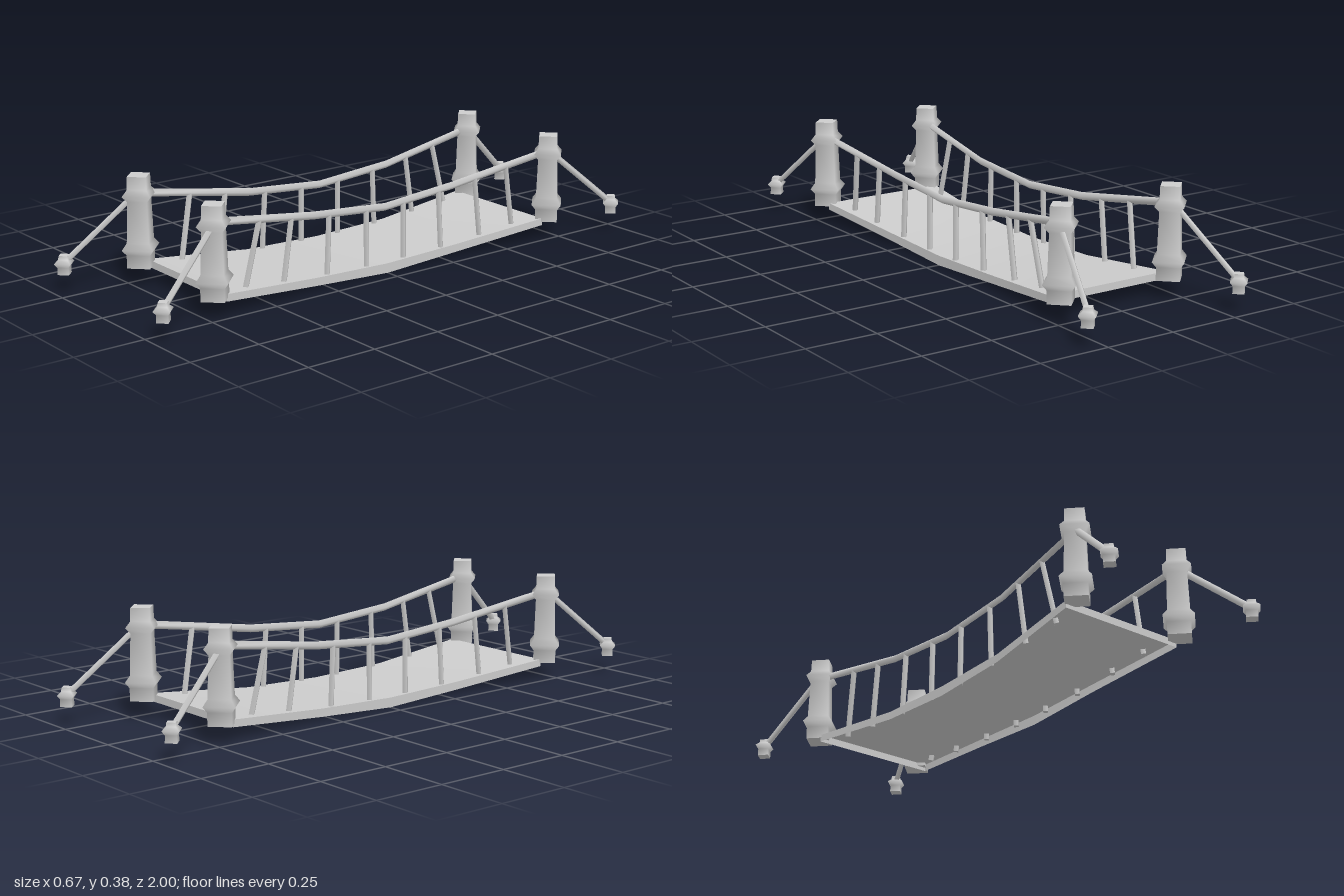
import * as THREE from 'three';

const V = (x, y, z) => new THREE.Vector3(x, y, z);

// Smooth surface through rows of points
function surface(rows, closed = false) {
  const n = rows[0].length, index = [];
  for (let i = 0; i < rows.length - 1; i++) {
    for (let j = 0; j < (closed ? n : n - 1); j++) {
      const k = (j + 1) % n;
      const a = i * n + j, b = i * n + k, c = a + n, d = b + n;
      index.push(a, b, c, b, d, c);
    }
  }
  const g = new THREE.BufferGeometry().setFromPoints(rows.flat());
  g.setIndex(index);
  g.computeVertexNormals();
  return g;
}

// Four-sided turned post, edges on the x and z axes
function turned(profile) {
  return new THREE.LatheGeometry(profile.map(([r, y]) => new THREE.Vector2(r, y)), 4);
}

// Straight four-sided bar between two points
function bar(a, b, r) {
  const d = b.clone().sub(a);
  const g = new THREE.CylinderGeometry(r, r, d.length(), 4);
  g.applyQuaternion(new THREE.Quaternion().setFromUnitVectors(V(0, 1, 0), d.normalize()));
  const m = a.clone().add(b).multiplyScalar(0.5);
  return g.translate(m.x, m.y, m.z);
}

// Linear lookup in [z, value] pairs, symmetric in z
function lookup(table, z) {
  const t = Math.abs(z);
  for (let i = 0; i < table.length - 1; i++) {
    const [z0, v0] = table[i], [z1, v1] = table[i + 1];
    if (t <= z1) return v0 + (v1 - v0) * (t - z0) / (z1 - z0);
  }
  return table[table.length - 1][1];
}

export function createModel() {
  const model = new THREE.Group();
  const grey = new THREE.MeshStandardMaterial({ color: 0xcccccc, side: THREE.DoubleSide });
  grey.name = 'plain grey';
  const add = (name, geometry, x = 0, y = 0, z = 0) => {
    const mesh = new THREE.Mesh(geometry, grey);
    mesh.name = name;
    mesh.position.set(x, y, z);
    model.add(mesh);
  };

  // Sagging deck, open underneath, with a thin skirt all round
  const deckZ = [-0.683, -0.3, 0, 0.3, 0.683];
  const deckTop = [[0, 0.034], [0.3, 0.043], [0.683, 0.075]];
  const deckLow = [[0, 0], [0.3, 0.015], [0.683, 0.05]];
  const deckHalf = [[0, 0.2], [0.3, 0.2], [0.683, 0.233]];
  const edge = (s, z, heights) => V(s * lookup(deckHalf, z), lookup(heights, z), z);
  add('deckTop', surface(deckZ.map(z => [edge(1, z, deckTop), edge(-1, z, deckTop)]).reverse()));
  for (const s of [-1, 1]) {
    add('deckSide', surface(deckZ.map(z => [edge(s, z, deckTop), edge(s, z, deckLow)])));
    const z = s * 0.683;
    add('deckEnd', surface([deckTop, deckLow].map(h => [edge(-1, z, h), edge(1, z, h)])));
  }

  // Posts, ground anchors and guy ropes at the four corners
  const post = turned([[0, 0.063], [0.055, 0.063], [0.055, 0.063], [0.055, 0.108], [0.073, 0.128],
    [0.053, 0.15], [0.047, 0.29], [0.067, 0.31], [0.047, 0.33], [0.045, 0.375], [0.045, 0.375], [0, 0.375]]);
  const anchor = turned([[0, 0.063], [0.027, 0.063], [0.027, 0.063], [0.026, 0.088], [0.0386, 0.102],
    [0.022, 0.114], [0.02, 0.127], [0.02, 0.127], [0, 0.127]]);
  for (const sx of [-1, 1]) {
    for (const sz of [-1, 1]) {
      add('post', post, sx * 0.217, 0, sz * 0.717);
      add('anchor', anchor, sx * 0.298, 0, sz * 0.961);
      add('guyRope', bar(V(sx * 0.295, 0.105, sz * 0.957), V(sx * 0.23, 0.3, sz * 0.735), 0.0115));
    }
  }

  // Handrails
  const railY = [[0, 0.228], [0.3, 0.252], [0.717, 0.315]];
  const railX = [[0, 0.181], [0.3, 0.181], [0.717, 0.215]];
  const r = 0.0135;
  for (const s of [-1, 1]) {
    const rows = [-0.717, -0.3, 0, 0.3, 0.717].map(z => {
      const x = s * lookup(railX, z), y = lookup(railY, z);
      return [V(x + r, y, z), V(x, y + r, z), V(x - r, y, z), V(x, y - r, z)];
    });
    add('handrail', surface(rows, true));

    // Leaning balusters, poking slightly through the deck
    for (const [top, bottom] of [[0.08, 0.08], [0.236, 0.248], [0.395, 0.427], [0.53, 0.58]]) {
      for (const sz of [-1, 1]) {
        add('baluster', bar(
          V(s * 0.184, lookup(deckTop, bottom) - 0.02, sz * bottom),
          V(s * lookup(railX, top), lookup(railY, top), sz * top), 0.0115));
      }
    }
  }
  return model;
}
